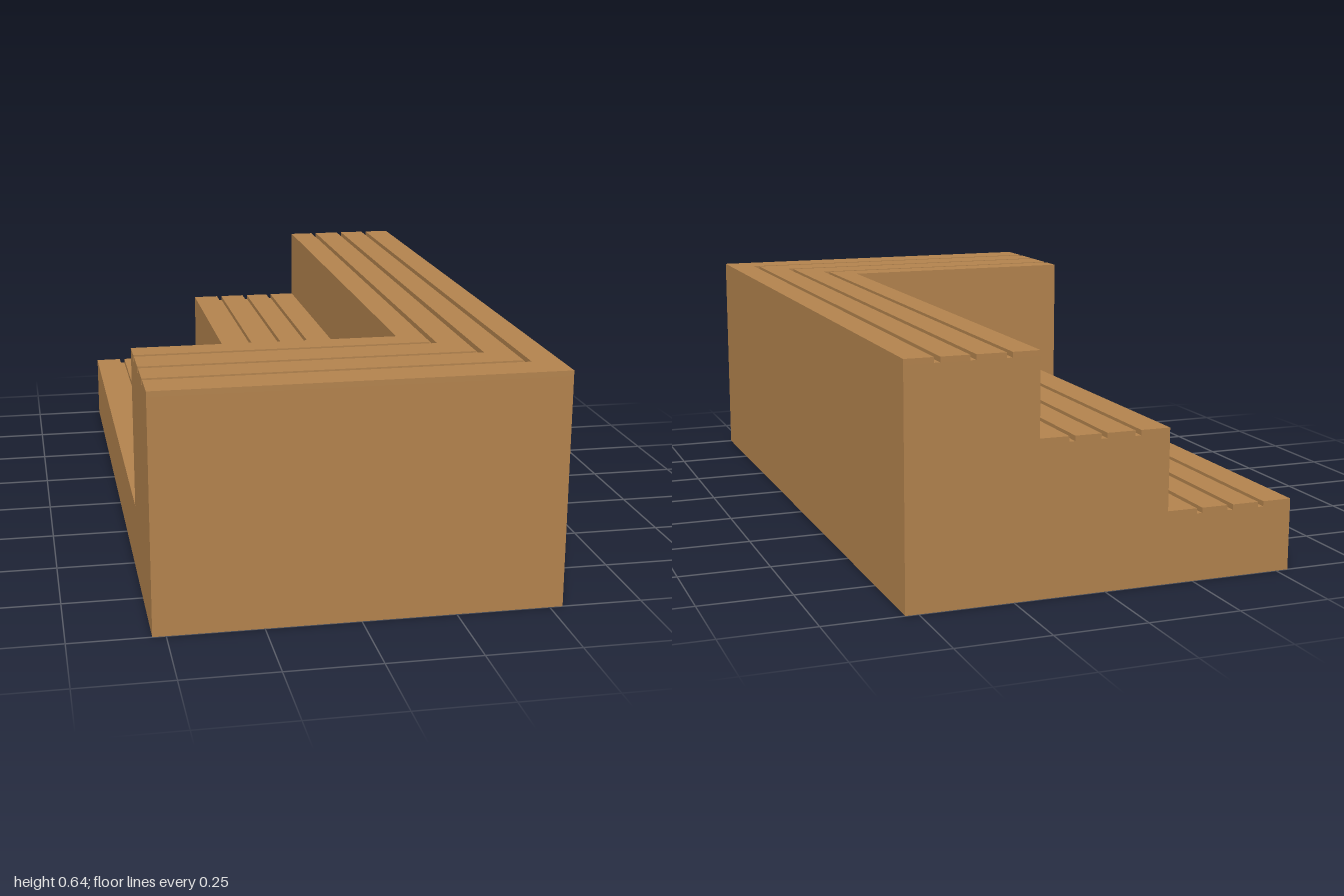
import * as THREE from 'three';

export function createModel() {
  const group = new THREE.Group();
  group.name = 'steppedBench';
  const wood = new THREE.MeshStandardMaterial({ color: 0xb4844e });
  wood.name = 'wood';

  const W = 0.535, BACK = -1, FRONT = 1, GROOVE = 0.016, DEPTH = 0.014;
  const INNER_X = 0.183, INNER_Z = 0.575;

  // Extrudes a plan outline of [x, z] points upward from y0 to y1
  function slab(name, points, y0, y1) {
    const shape = new THREE.Shape(points.map(([x, z]) => new THREE.Vector2(x, -z)));
    const geo = new THREE.ExtrudeGeometry(shape, { depth: y1 - y0, bevelEnabled: false });
    geo.rotateX(-Math.PI / 2).translate(0, y0, 0);
    const mesh = new THREE.Mesh(geo, wood);
    mesh.name = name;
    group.add(mesh);
  }

  const rect = (x0, x1, z0, z1) => [[x0, z0], [x0, z1], [x1, z1], [x1, z0]];
  // L-shaped band: a side run along +x and a front run along +z, meeting at the corner
  const band = (x0, x1, z0, z1) =>
    [[-W, z0], [-W, z1], [x1, z1], [x1, BACK], [x0, BACK], [x0, z0]];

  // Splits a span into slats, given the groove centres
  function spans(start, end, grooves) {
    const edges = [start, ...grooves.flatMap(g => [g - GROOVE / 2, g + GROOVE / 2]), end];
    return grooves.concat(end).map((_, i) => [edges[2 * i], edges[2 * i + 1]]);
  }

  // Two straight lower steps with slatted treads
  const steps = [
    { name: 'lowerStep', x0: -W, x1: -0.175, top: 0.195, grooves: [-0.446, -0.356, -0.266] },
    { name: 'middleStep', x0: -0.175, x1: INNER_X, top: 0.415, grooves: [-0.086, 0.008, 0.096] },
  ];
  for (const { name, x0, x1, top, grooves } of steps) {
    slab(name + 'Body', rect(x0, x1, BACK, INNER_Z), 0, top - DEPTH);
    for (const [a, b] of spans(x0, x1, grooves)) {
      slab(name + 'Slat', rect(a, b, BACK, INNER_Z), top - DEPTH, top);
    }
  }

  // Top tier wrapping round the front, with mitred L-shaped slats
  const TOP = 0.636;
  slab('upperTierBody', band(INNER_X, W, INNER_Z, FRONT), 0, TOP - DEPTH);
  const xs = spans(INNER_X, W, [0.264, 0.358, 0.45]);
  const zs = spans(INNER_Z, FRONT, [0.66, 0.777, 0.89]);
  xs.forEach(([x0, x1], i) => {
    slab('upperTierSlat', band(x0, x1, zs[i][0], zs[i][1]), TOP - DEPTH, TOP);
  });

  return group;
}
